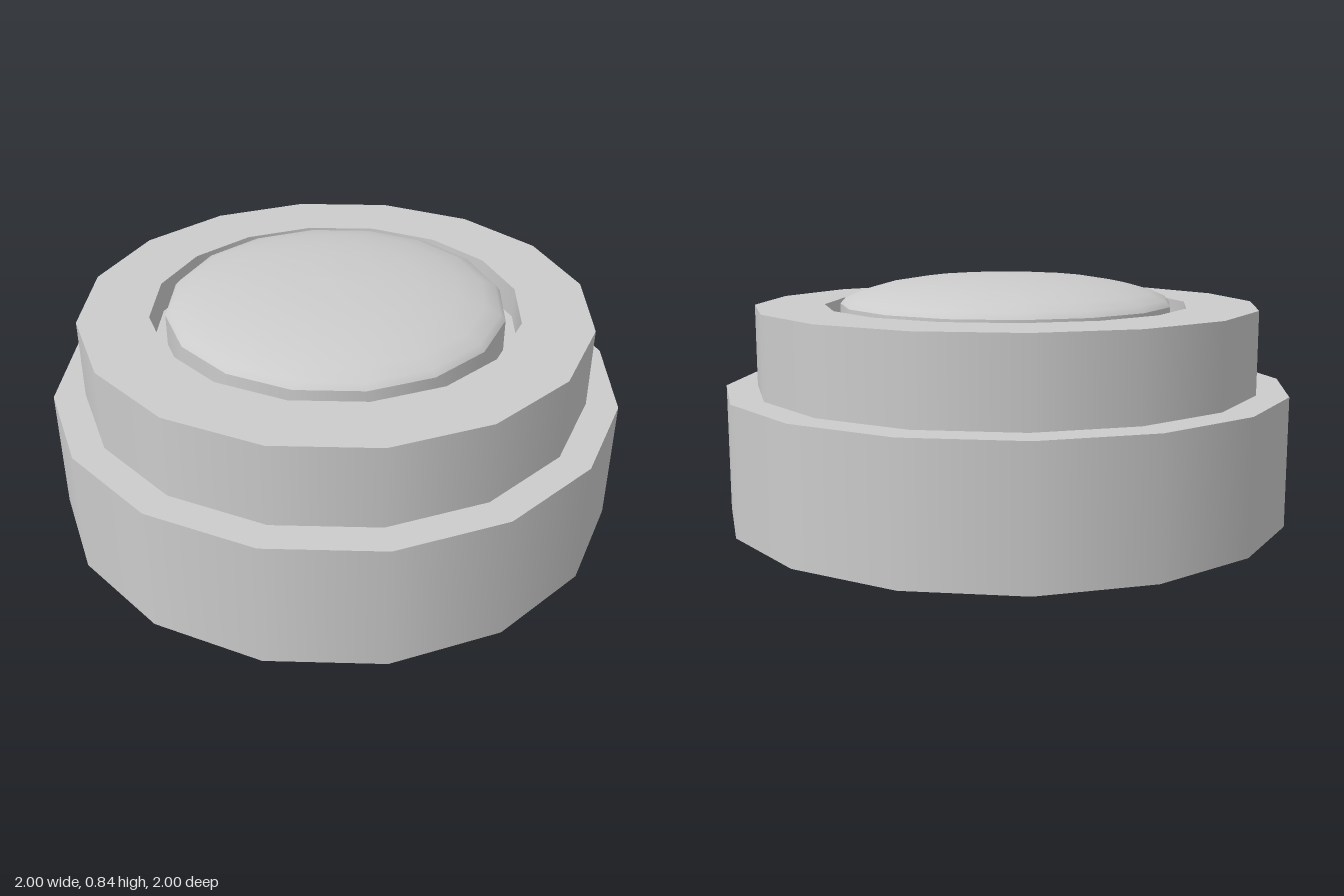
import * as THREE from 'three';

const SIDES = 16;

export function createModel() {
  const group = new THREE.Group();
  const material = new THREE.MeshStandardMaterial({ color: 0xcccccc, side: THREE.DoubleSide });

  // Each band is its own lathe, so edges between bands stay sharp
  const band = (name, points) => {
    const profile = points.map(([r, y]) => new THREE.Vector2(r, y));
    const mesh = new THREE.Mesh(new THREE.LatheGeometry(profile, SIDES), material);
    mesh.name = name;
    group.add(mesh);
  };

  // Hollow stepped housing, open underneath
  band('baseWall', [[1, 0], [1, 0.45]]);
  band('baseLedge', [[1, 0.45], [0.89, 0.45]]);
  band('upperWall', [[0.89, 0.45], [0.89, 0.737]]);
  band('topRing', [[0.89, 0.737], [0.645, 0.737]]);

  // Groove around the button
  band('grooveWall', [[0.645, 0.737], [0.645, 0.626]]);
  band('grooveFloor', [[0.645, 0.626], [0.59, 0.626]]);

  // Button with a shallow domed cap
  band('buttonWall', [[0.59, 0.626], [0.59, 0.74]]);
  band('buttonDome', [
    [0.59, 0.74], [0.572, 0.76], [0.52, 0.783], [0.43, 0.808],
    [0.3, 0.829], [0.15, 0.84], [0, 0.843],
  ]);

  return group;
}
